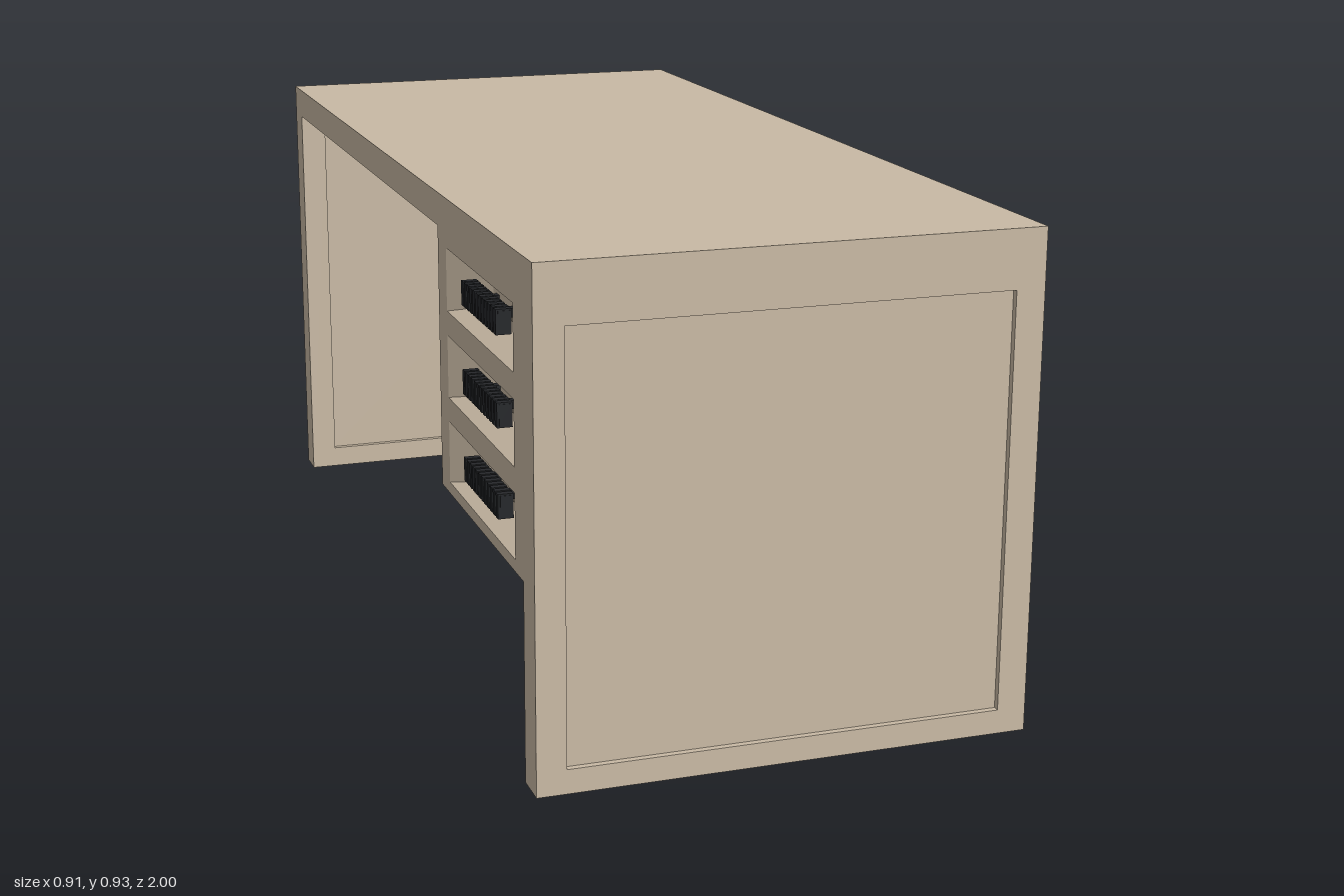
import * as THREE from 'three';

const HX = 0.457, H = 0.925, T = 0.067, TOP = 0.062; // half width, height, leg and top thickness

// Rectangle path from two opposite corners
function rect(PathType, x0, y0, x1, y1) {
  const p = new PathType();
  p.moveTo(x0, y0);
  p.lineTo(x1, y0);
  p.lineTo(x1, y1);
  p.lineTo(x0, y1);
  p.closePath();
  return p;
}

// Rectangular plate with rectangular holes, extruded along +z
function plate(outer, holes, depth) {
  const s = rect(THREE.Shape, ...outer);
  s.holes = holes.map(h => rect(THREE.Path, ...h));
  return new THREE.ExtrudeGeometry(s, { depth, bevelEnabled: false });
}

// Four sloping walls running inwards from an opening in the -x face
function taperedRecess([z0, y0, z1, y1], xOut, xIn, insetZ, insetY) {
  const ring = (x, i, j) => [
    [x, y0 + j, z0 + i], [x, y0 + j, z1 - i], [x, y1 - j, z1 - i], [x, y1 - j, z0 + i]];
  const o = ring(xOut, 0, 0), n = ring(xIn, insetZ, insetY), pos = [];
  for (let k = 0; k < 4; k++) {
    const m = (k + 1) % 4;
    for (const p of [o[k], o[m], n[m], o[k], n[m], n[k]]) pos.push(...p);
  }
  const g = new THREE.BufferGeometry();
  g.setAttribute('position', new THREE.Float32BufferAttribute(pos, 3));
  g.computeVertexNormals();
  return g;
}

export function createModel() {
  const desk = new THREE.Group();
  desk.name = 'desk';
  const wood = new THREE.MeshStandardMaterial({ color: 0xc8b9a4 });
  wood.name = 'beige panel';
  const dark = new THREE.MeshStandardMaterial({ color: 0x25272a });
  dark.name = 'dark handle';

  const add = (name, geo, mat, parent = desk, x = 0, y = 0, z = 0) => {
    const m = new THREE.Mesh(geo, mat);
    m.name = name;
    m.position.set(x, y, z);
    parent.add(m);
    return m;
  };
  const box = (w, h, d) => new THREE.BoxGeometry(w, h, d);

  // Slab legs at both ends, each with a shallow sunken panel on both faces
  const hole = [-0.403, 0.045, 0.403, 0.817];
  for (const side of [1, -1]) {
    const leg = new THREE.Group();
    leg.name = side > 0 ? 'frontLeg' : 'backLeg';
    leg.position.z = side * (1 - T / 2);
    desk.add(leg);
    add('legFrame', plate([-HX, 0, HX, H], [hole], T), wood, leg, 0, 0, -T / 2);
    add('legPanel', box(0.806, 0.772, T - 0.024), wood, leg, 0, 0.431, 0);
  }

  // Top between the legs
  add('deskTop', box(2 * HX, TOP, 2 - 2 * T), wood, desk, 0, H - TOP / 2, 0);

  // Drawer pedestal: solid body and a face with three openings
  const z0 = 0.38, z1 = 1 - T, y0 = 0.365, y1 = H - TOP;
  const depth = 0.05, xIn = -HX + depth;
  add('pedestalBody', box(HX - xIn, y1 - y0, z1 - z0), wood, desk,
    (HX + xIn) / 2, (y0 + y1) / 2, (z0 + z1) / 2);

  const openings = [0, 1, 2].map(i => [0.44, 0.387 + i * 0.164, 0.884, 0.505 + i * 0.164]);
  const face = plate([z0, y0, z1, y1], openings, depth);
  face.rotateY(-Math.PI / 2);
  add('pedestalFace', face, wood, desk, xIn, 0, 0);

  // Drawer recesses, each with a ribbed pull
  openings.forEach(o => {
    add('drawerRecess', taperedRecess(o, -HX, xIn, 0.142, 0.039), wood);
    const handle = new THREE.Group();
    handle.name = 'drawerHandle';
    handle.position.set(-HX, (o[1] + o[3]) / 2, (o[0] + o[2]) / 2);
    desk.add(handle);
    add('handleCore', box(0.022, 0.039, 0.232), dark, handle, 0.015, 0, 0);
    const ribs = 12, pitch = 0.236 / ribs;
    for (let k = 0; k < ribs; k++) {
      add('handleRib', box(0.028, 0.045, pitch * 0.7), dark, handle,
        0.014, 0, (k - (ribs - 1) / 2) * pitch);
    }
    for (const s of [-1, 1]) {
      add('handlePost', box(0.026, 0.016, 0.016), dark, handle, 0.038, 0, s * 0.05);
    }
  });

  return desk;
}
